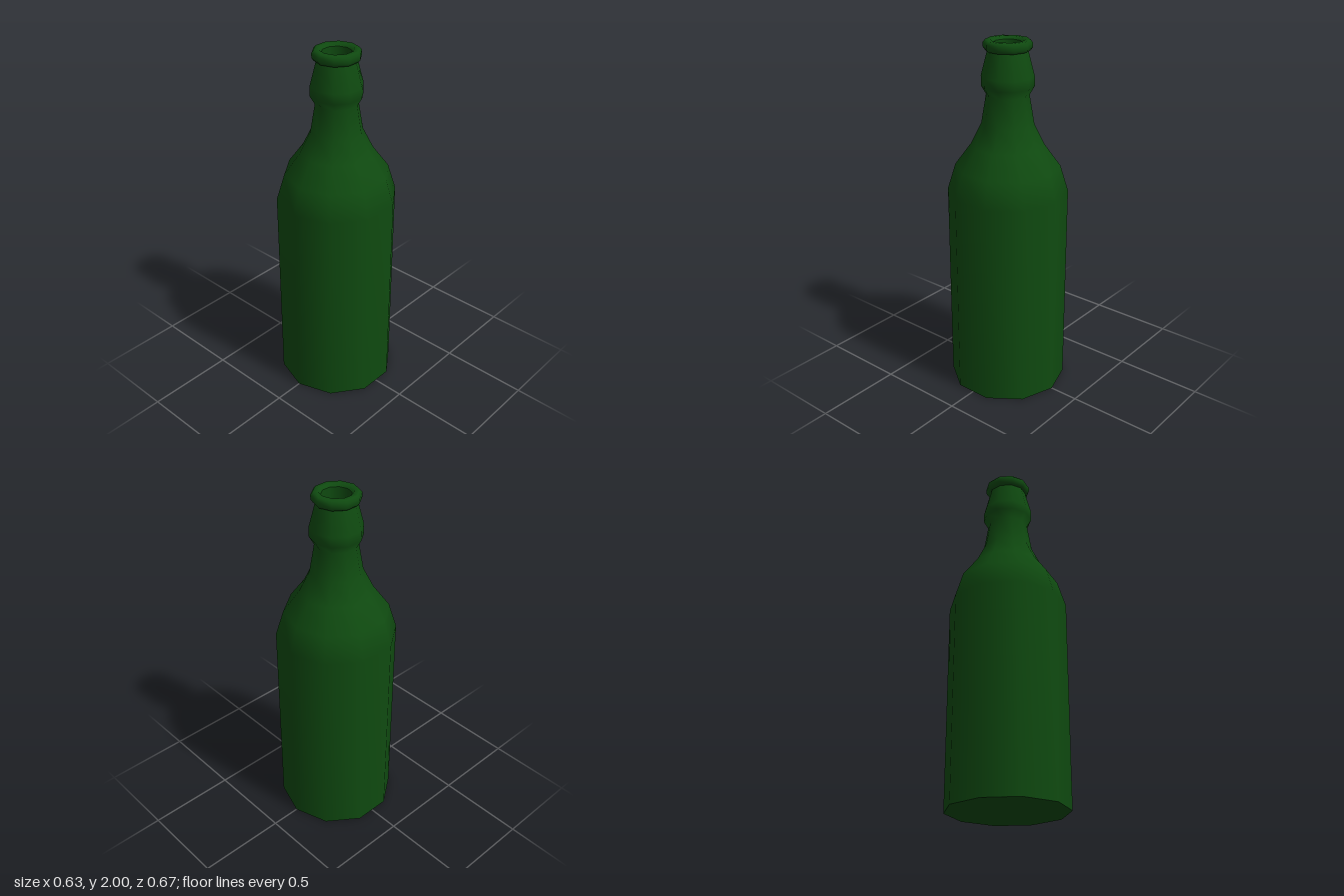
import * as THREE from 'three';

const SIDES = 10;

export function createModel() {
  const glass = new THREE.MeshStandardMaterial({ color: 0x0f4a10 });
  glass.name = 'greenGlass';
  const bottle = new THREE.Group();
  bottle.name = 'bottle';

  // Each section is a ten-sided turned profile of [radius, height], smooth within itself
  const addTurned = (name, profile) => {
    const points = profile.map(([r, y]) => new THREE.Vector2(r, y));
    const mesh = new THREE.Mesh(new THREE.LatheGeometry(points, SIDES), glass);
    mesh.name = name;
    bottle.add(mesh);
  };

  // Flat underside
  addTurned('base', [[0, 0], [0.333, 0]]);

  // Straight body, rounded shoulder and neck with its swollen collar
  addTurned('bodyAndNeck', [
    [0.333, 0], [0.333, 1.17], [0.288, 1.315], [0.2, 1.435], [0.143, 1.55],
    [0.116, 1.71], [0.142, 1.755], [0.142, 1.81], [0.107, 1.945],
  ]);

  // Rounded lip rolling over into the mouth
  addTurned('lip', [
    [0.107, 1.943], [0.119, 1.945], [0.13, 1.96], [0.13, 1.985],
    [0.118, 2], [0.092, 2], [0.079, 1.985],
  ]);

  // Inside of the neck and its floor
  addTurned('mouthWall', [[0.079, 1.985], [0.079, 1.5]]);
  addTurned('mouthFloor', [[0.079, 1.5], [0, 1.5]]);

  return bottle;
}
